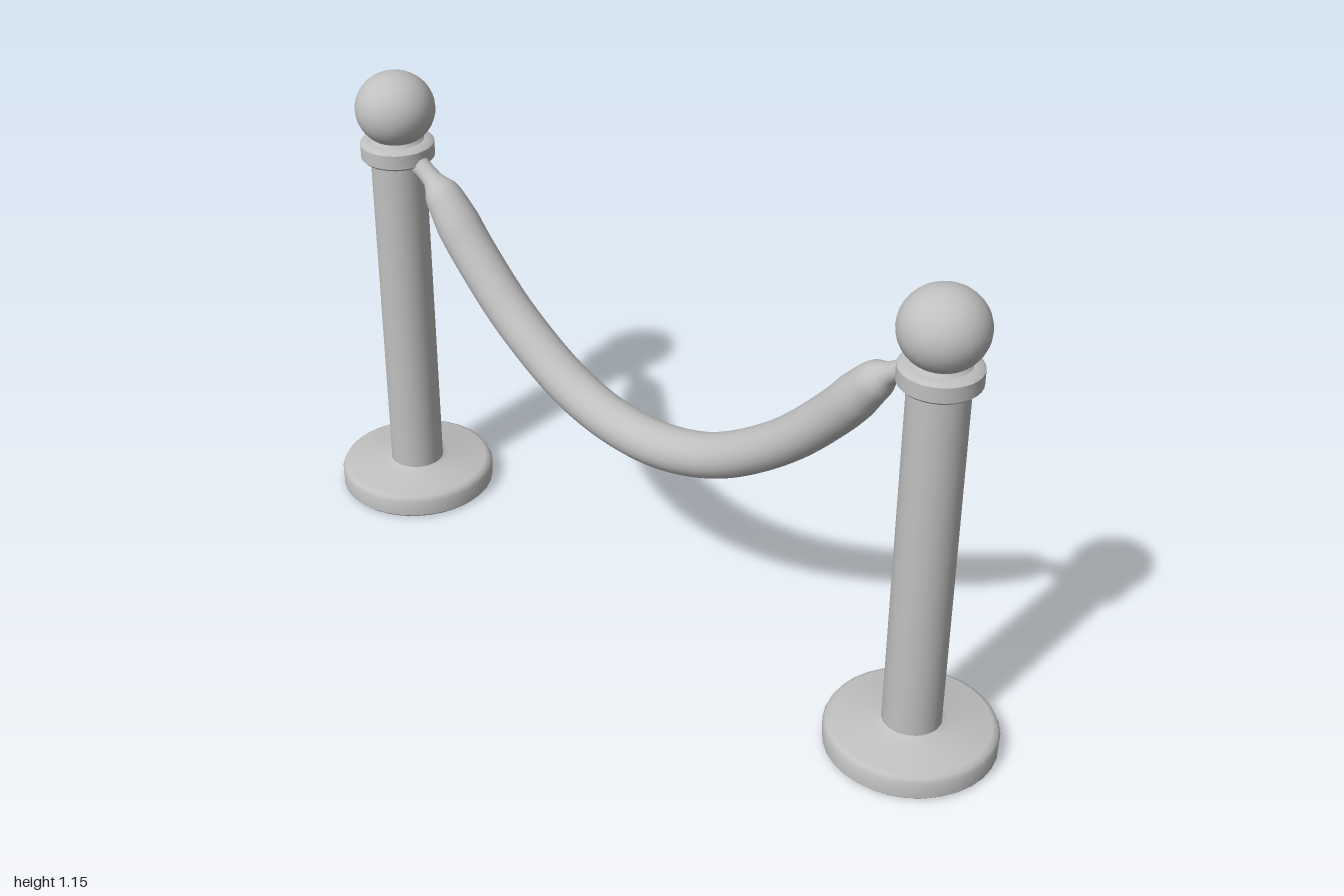
import * as THREE from 'three';
import { mergeVertices, toCreasedNormals } from 'three/addons/utils/BufferGeometryUtils.js';

const metal = new THREE.MeshStandardMaterial({ color: 0xc0c0c0 });
metal.name = 'light grey';

function part(name, geometry, parent) {
  const mesh = new THREE.Mesh(geometry, metal);
  mesh.name = name;
  parent.add(mesh);
  return mesh;
}

// Turned solid from [radius, height] pairs
function turned(profile) {
  const points = profile.map(([r, y]) => new THREE.Vector2(r, y));
  return toCreasedNormals(new THREE.LatheGeometry(points, 32), 0.7);
}

function makePost(x) {
  const post = new THREE.Group();
  post.name = x > 0 ? 'leftPost' : 'rightPost';
  post.position.x = x;
  part('base', turned([[0, 0], [0.19, 0], [0.196, 0.006], [0.197, 0.045],
    [0.191, 0.057], [0.18, 0.062], [0.085, 0.063], [0.068, 0.072]]), post);
  part('pole', new THREE.CylinderGeometry(0.067, 0.067, 0.89, 32, 1, true), post).position.y = 0.505;
  part('collar', turned([[0.06, 0.932], [0.084, 0.932], [0.09, 0.938], [0.09, 0.973],
    [0.084, 0.979], [0.066, 0.981], [0.058, 0.99], [0.056, 1.0]]), post);
  const ball = part('ball', new THREE.SphereGeometry(0.097, 32, 20), post);
  ball.position.y = 1.06;
  ball.scale.y = 0.94;
  return post;
}

// Hanging rope: a tube whose radius narrows to a thin hook at both ends
function makeRope() {
  const half = [[0.2, 0.499], [0.4, 0.618], [0.55, 0.76], [0.655, 0.885], [0.7, 0.92], [0.75, 0.945]];
  const points = [
    ...half.slice().reverse().map(([x, y]) => new THREE.Vector3(-x, y, 0)),
    new THREE.Vector3(0, 0.461, 0),
    ...half.map(([x, y]) => new THREE.Vector3(x, y, 0)),
  ];
  const curve = new THREE.CatmullRomCurve3(points);
  const segments = 120, sides = 20;
  const geometry = new THREE.TubeGeometry(curve, segments, 1, sides);
  const profile = [[0, 0.03], [0.04, 0.022], [0.085, 0.024], [0.1, 0.037], [0.125, 0.044], [0.2, 0.052], [2, 0.055]];
  const radiusAt = (d) => {
    const i = Math.max(1, profile.findIndex(([s]) => s >= d));
    const [a, ra] = profile[i - 1], [b, rb] = profile[i];
    return THREE.MathUtils.lerp(ra, rb, (d - a) / (b - a));
  };
  const length = curve.getLength();
  const pos = geometry.attributes.position;
  const v = new THREE.Vector3();
  for (let i = 0; i <= segments; i++) {
    const u = i / segments;
    const centre = curve.getPointAt(u);
    const radius = radiusAt(Math.min(u, 1 - u) * length);
    for (let j = 0; j <= sides; j++) {
      const k = i * (sides + 1) + j;
      v.fromBufferAttribute(pos, k).sub(centre).multiplyScalar(radius);
      v.z *= 1.06;
      v.add(centre);
      pos.setXYZ(k, v.x, v.y, v.z);
    }
  }
  geometry.deleteAttribute('uv');
  geometry.deleteAttribute('normal');
  const welded = mergeVertices(geometry);
  welded.computeVertexNormals();
  return welded;
}

export function createModel() {
  const model = new THREE.Group();
  model.name = 'ropeBarrier';
  for (const x of [-0.803, 0.803]) model.add(makePost(x));
  part('rope', makeRope(), model);
  return model;
}
